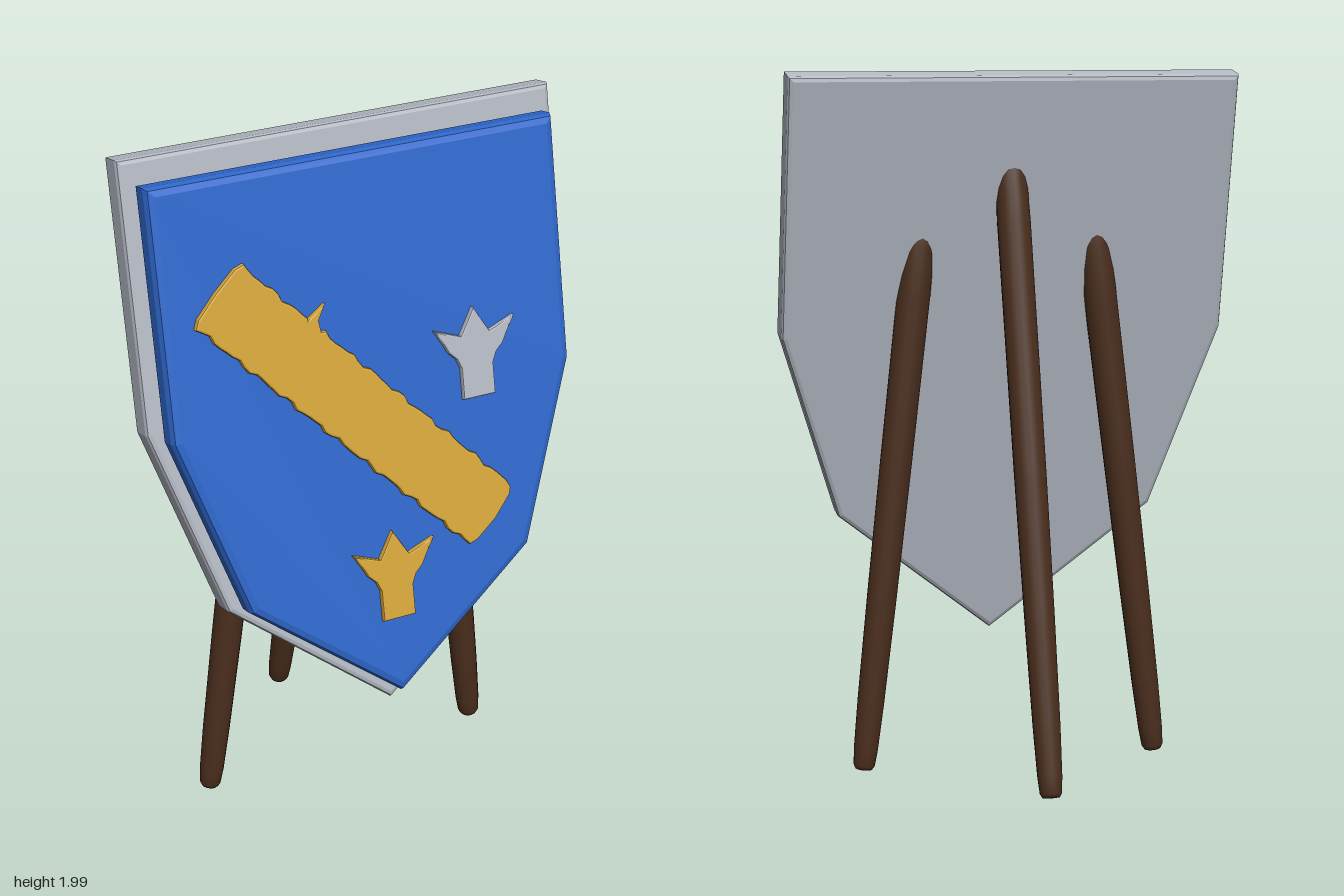
import * as THREE from 'three';

const TILT = 0.2;
const mat = (color) => new THREE.MeshStandardMaterial({ color });

// Bevelled plate whose back lies at z0 and front at z1
function plate(name, points, z0, z1, bevel, material) {
  const shape = new THREE.Shape(points.map(([x, y]) => new THREE.Vector2(x, y)));
  const geo = new THREE.ExtrudeGeometry(shape, {
    depth: z1 - z0 - 2 * bevel,
    bevelEnabled: true, bevelThickness: bevel, bevelSize: bevel, bevelOffset: -bevel, bevelSegments: 2,
  });
  geo.translate(0, 0, z0 + bevel);
  const mesh = new THREE.Mesh(geo, material);
  mesh.name = name;
  return mesh;
}

// Mirror the right half of an outline, listed from bottom to top
function mirrored(half) {
  const left = half.filter(([x]) => x > 0).map(([x, y]) => [-x, y]).reverse();
  return [...half, ...left];
}

// Tapered, rounded stake running from foot to head
function stake(name, foot, head, material) {
  const axis = head.clone().sub(foot);
  const len = axis.length();
  const profile = [
    [0, 0], [0.024, 0.002], [0.031, 0.014], [0.035, 0.06], [0.039, 0.2], [0.043, 0.5],
    [0.046, 0.9], [0.048, len - 0.25], [0.045, len - 0.12], [0.034, len - 0.04], [0.02, len - 0.01], [0, len],
  ].map(([r, y]) => new THREE.Vector2(r, y));
  const mesh = new THREE.Mesh(new THREE.LatheGeometry(profile, 16), material);
  mesh.position.copy(foot);
  mesh.quaternion.setFromUnitVectors(new THREE.Vector3(0, 1, 0), axis.normalize());
  mesh.name = name;
  return mesh;
}

// Diagonal band with wavy worn edges and one thorn on its upper edge
function bandOutline(length, width) {
  const pts = [];
  const n = 48, h = length / 2, w = width / 2;
  const wave = (u, k) => 0.004 * Math.sin(u * 62 + k) + 0.003 * Math.sin(u * 101 + 2 * k);
  for (let i = 0; i <= n; i++) {
    const u = -h + 0.012 + (i / n) * (length - 0.024);
    pts.push([u, -w + wave(u, 1)]);
  }
  pts.push([h, -w + 0.025], [h + 0.008, 0], [h, w - 0.025]);
  let thorn = false;
  for (let i = n; i >= 0; i--) {
    const u = -h + 0.012 + (i / n) * (length - 0.024);
    if (u > -0.292 && u < -0.232) {
      if (!thorn) pts.push([-0.235, w - 0.004], [-0.262, w + 0.015], [-0.278, w + 0.062], [-0.289, w - 0.002]);
      thorn = true;
      continue;
    }
    pts.push([u, w + wave(u, 3)]);
  }
  pts.push([-h, w - 0.02], [-h - 0.004, 0], [-h, -w + 0.02]);
  return pts;
}

export function createModel() {
  const model = new THREE.Group();
  model.name = 'shieldOnStand';
  const steel = mat(0xb4b9c3), blue = mat(0x2f68cc), gold = mat(0xd4a53a), wood = mat(0x4a2e1d);

  // Leaning shield, its origin at the lower tip of the back face
  const shield = new THREE.Group();
  shield.name = 'shield';
  shield.position.set(0, 0.347, 0.277);
  shield.rotation.x = -TILT;
  model.add(shield);

  shield.add(plate('backPlate',
    mirrored([[0, 0], [0.47, 0.375], [0.65, 0.92], [0.65, 1.67]]), 0, 0.085, 0.014, steel));
  shield.add(plate('frontPanel',
    mirrored([[0, 0.045], [0.437, 0.385], [0.61, 0.905], [0.61, 1.6]]), 0.08, 0.17, 0.024, blue));

  // Raised ornaments
  const band = plate('diagonalBand', bandOutline(1.107, 0.206), 0.15, 0.186, 0.006, gold);
  band.position.set(-0.065, 0.895, 0);
  band.rotation.z = -0.801;
  shield.add(band);

  const crown = [
    [0.05, 0], [0.05, 0.09], [0.062, 0.118], [0.085, 0.14], [0.098, 0.165], [0.126, 0.212],
    [0.08, 0.195], [0.045, 0.182], [0.025, 0.215], [0, 0.257],
  ];
  for (const [name, x, y, material] of [['lowerCrown', 0, 0.273, gold], ['sideCrown', 0.306, 0.855, steel]]) {
    const mesh = plate(name, mirrored(crown), 0.15, 0.186, 0.005, material);
    mesh.position.set(x, y, 0);
    shield.add(mesh);
  }

  // Three stakes: two at the sides, one propping from behind
  for (const [side, name] of [[1, 'leftLeg'], [-1, 'rightLeg']]) {
    model.add(stake(name, new THREE.Vector3(side * 0.436, 0.006, 0.045), new THREE.Vector3(side * 0.245, 1.62, 0.08), wood));
  }
  model.add(stake('backLeg', new THREE.Vector3(0, 0.008, -0.392), new THREE.Vector3(0, 1.82, 0.065), wood));
  return model;
}
